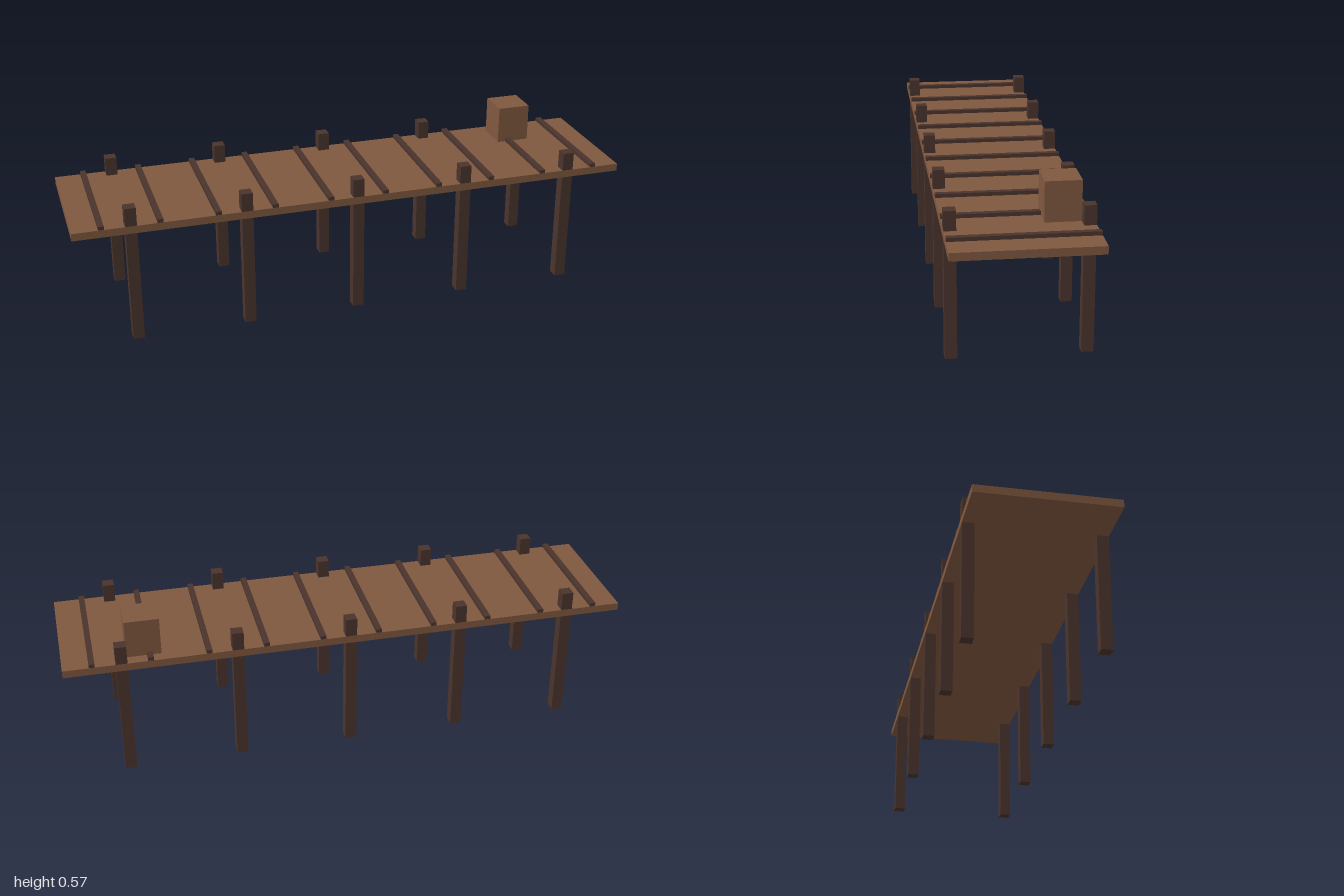
import * as THREE from 'three';

export function createModel() {
  const pier = new THREE.Group();
  pier.name = 'pier';

  const plankWood = new THREE.MeshStandardMaterial({ color: 0x80583f });
  plankWood.name = 'plank wood';
  const darkWood = new THREE.MeshStandardMaterial({ color: 0x4a342c });
  darkWood.name = 'dark wood';

  // Box given by its centre in x and z, and its bottom and top in y
  function addBox(name, material, width, depth, bottom, top, x, z) {
    const geometry = new THREE.BoxGeometry(width, top - bottom, depth);
    const mesh = new THREE.Mesh(geometry, material);
    mesh.name = name;
    mesh.position.set(x, (bottom + top) / 2, z);
    pier.add(mesh);
  }

  // Deck, a hair proud of the posts so the faces do not coincide
  addBox('deck', plankWood, 2, 0.481, 0.407, 0.434, 0, 0);

  // Cross battens on the deck
  for (let i = 0; i < 10; i++) {
    addBox('batten', darkWood, 0.02, 0.48, 0.434, 0.447, -0.9 + i * 0.2, 0);
  }

  // Pairs of posts rising through the deck edges
  for (let i = -2; i <= 2; i++) {
    for (const side of [-1, 1]) {
      addBox('post', darkWood, 0.04, 0.04, 0, 0.5, i * 0.4, side * 0.22);
    }
  }

  // Crate standing near the back at the left end
  addBox('crate', plankWood, 0.12, 0.12, 0.434, 0.57, 0.72, -0.14);

  return pier;
}
